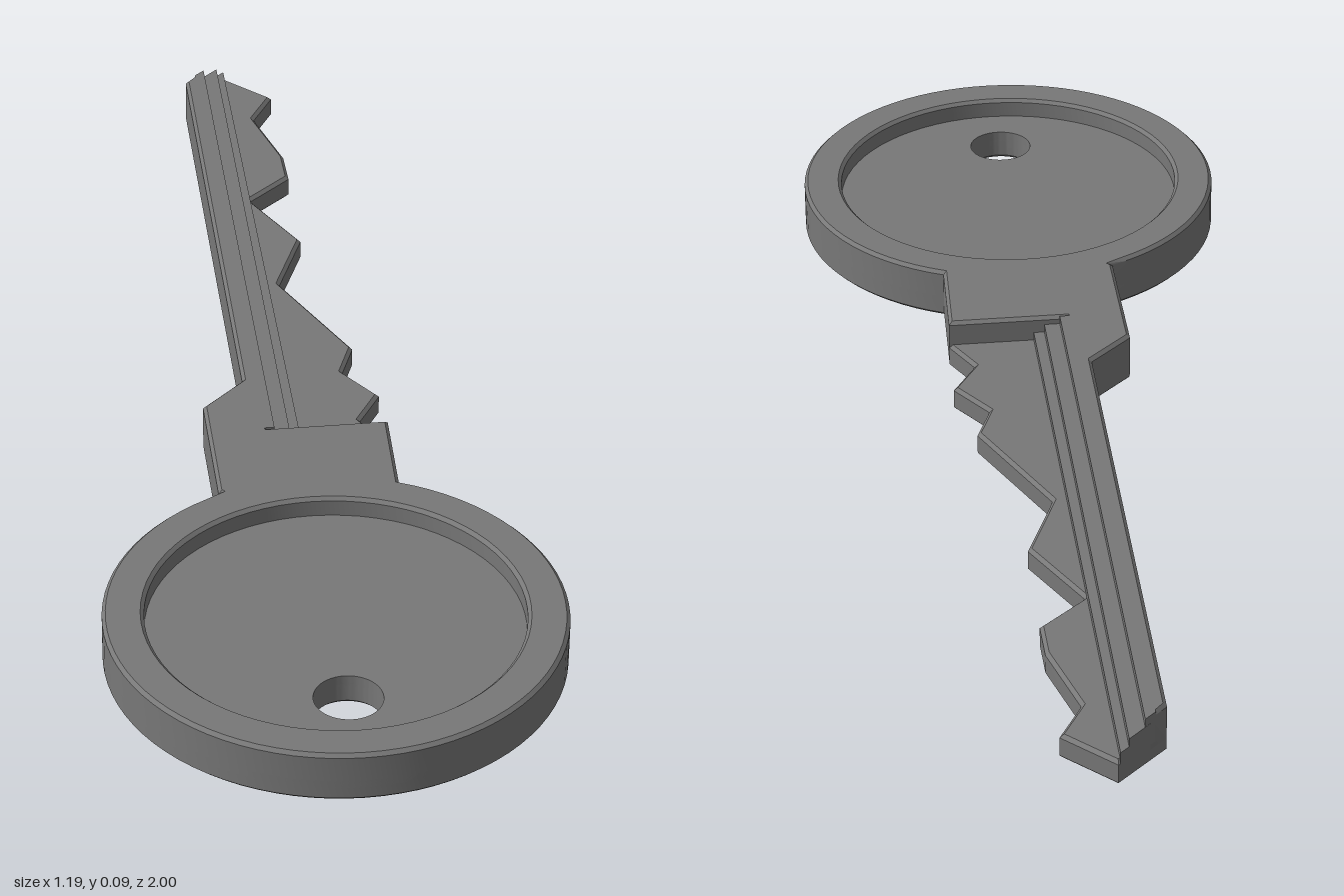
import * as THREE from 'three';
import { toCreasedNormals } from 'three/addons/utils/BufferGeometryUtils.js';

const HEAD = { x: -0.219, z: 0.622, r: 0.377 };
const BEVEL = 0.006;

const material = new THREE.MeshStandardMaterial({ color: 0x787878 });

// Outline points are given as [x, z]; shapes are drawn with y = -z
function addPoints(shape, points) {
  for (const [x, z] of points) shape.lineTo(x, -z);
  shape.closePath();
  return shape;
}

// Round head followed by the given shoulder and blade points
function keyOutline(points) {
  const shape = new THREE.Shape();
  shape.absarc(HEAD.x, -HEAD.z, HEAD.r, 1.54, 0.72 + Math.PI * 2, false);
  return addPoints(shape, points);
}

function circle(x, z, r) {
  return new THREE.Shape().absarc(x, -z, r, 0, Math.PI * 2, false);
}

// Flat layer between two heights, with optional chamfered edges
function layer(name, shape, y0, y1, bevel = 0) {
  const geometry = new THREE.ExtrudeGeometry(shape, {
    depth: y1 - y0 - 2 * bevel,
    curveSegments: 36,
    bevelEnabled: bevel > 0,
    bevelThickness: bevel,
    bevelSize: bevel,
    bevelOffset: -bevel,
    bevelSegments: 1,
  });
  geometry.rotateX(-Math.PI / 2);
  geometry.translate(0, y0 + bevel, 0);
  const mesh = new THREE.Mesh(toCreasedNormals(geometry, 0.5), material);
  mesh.name = name;
  return mesh;
}

export function createModel() {
  const key = new THREE.Group();
  key.name = 'key';

  const ringHole = circle(-0.302, 0.79, 0.056);
  const shoulder = [[0, -0.025], [-0.1, 0.01], [-0.21, 0.243]];

  // Base plate with the cut teeth along one edge
  const base = keyOutline([
    [0.147, 0.212], [0.144, 0.13], [0.214, 0.082], [0.199, -0.013],
    [0.255, -0.068], [0.256, -0.314], [0.368, -0.421], [0.363, -0.589],
    [0.467, -0.621], [0.499, -0.691], [0.525, -0.84], [0.596, -0.892],
    [0.557, -1], [0.447, -0.963], ...shoulder,
  ]);
  base.holes.push(ringHole);
  key.add(layer('toothedPlate', base, 0, 0.045, BEVEL));

  // Raised rim of the head, shoulder and the core of the tall rail
  const railStart = [-0.04, 0.125];
  const railEnd = [0.485, -0.976];
  const upper = keyOutline([[0.147, 0.212], railStart, railEnd, [0.447, -0.963], ...shoulder]);
  upper.holes.push(circle(HEAD.x, HEAD.z, 0.309));
  key.add(layer('rimAndRail', upper, 0.02, 0.09, BEVEL));

  // Sunken floor of the head
  const floor = circle(HEAD.x, HEAD.z, 0.325);
  floor.holes.push(ringHole);
  key.add(layer('headFloor', floor, 0.035, 0.055));

  // Sharp edge of the rail and the steps running down to the plate
  const steps = [
    { start: [-0.03, 0.13], end: [0.497, -0.98], top: 0.09 },
    { start: [-0.005, 0.141], end: [0.534, -0.993], top: 0.075 },
    { start: [0.012, 0.149], end: [0.553, -0.999], top: 0.06 },
  ];
  const innerStart = [-0.05, 0.121];
  const innerEnd = [0.473, -0.972];
  steps.forEach(({ start, end, top }, i) => {
    const strip = new THREE.Shape();
    strip.moveTo(innerStart[0], -innerStart[1]);
    addPoints(strip, [start, end, innerEnd]);
    key.add(layer('bladeStep' + (i + 1), strip, 0.035, top));
  });

  return key;
}
